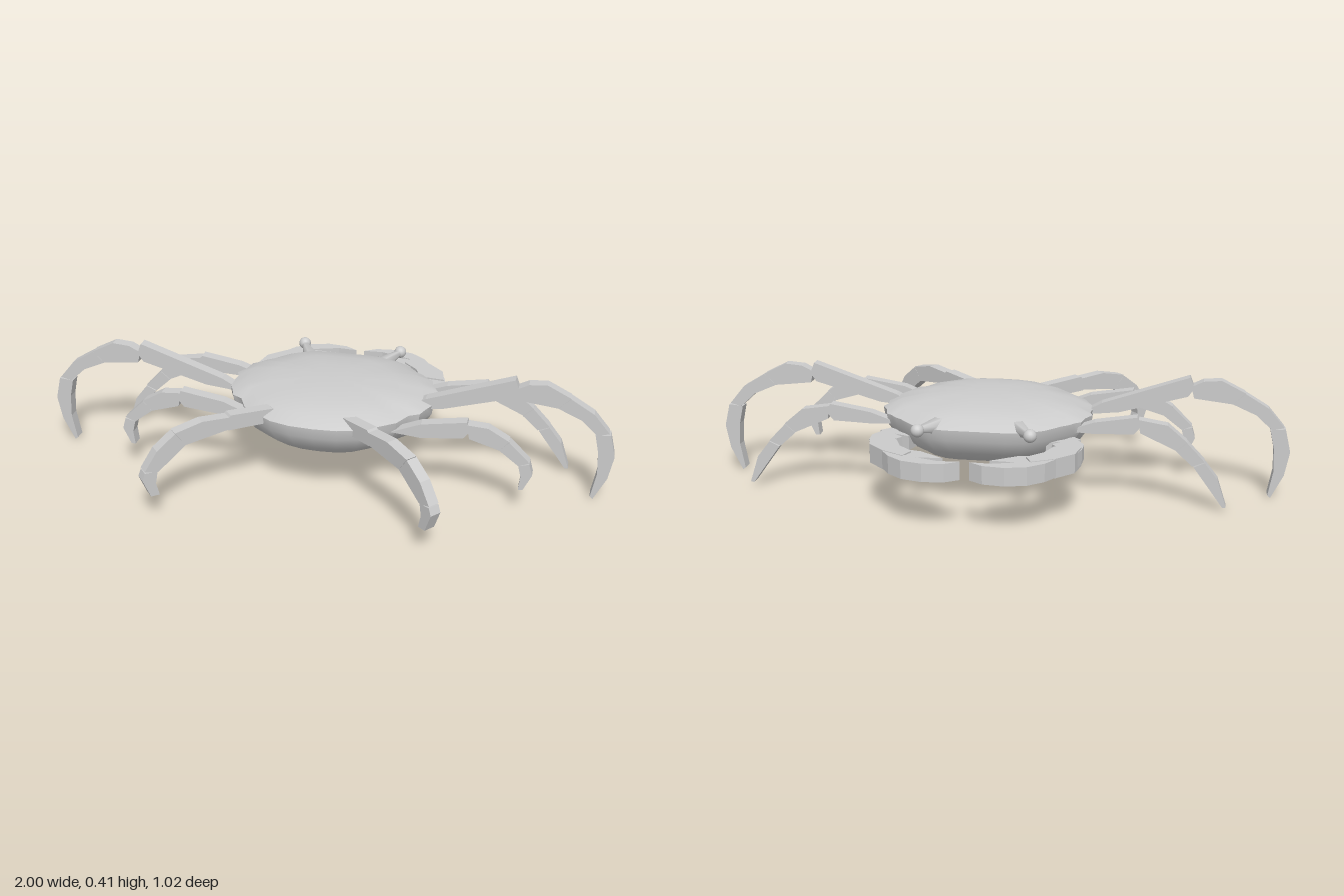
import * as THREE from 'three';
import { toCreasedNormals } from 'three/addons/utils/BufferGeometryUtils.js';

const material = new THREE.MeshStandardMaterial({ color: 0xcccccc });

function mesh(name, geometry) {
  const m = new THREE.Mesh(geometry, material);
  m.name = name;
  return m;
}

// Flat list of x,y pairs -> slab of the given thickness, starting at z = 0
function slab(pairs, depth) {
  const points = [];
  for (let i = 0; i < pairs.length; i += 2) points.push(new THREE.Vector2(pairs[i], pairs[i + 1]));
  return new THREE.ExtrudeGeometry(new THREE.Shape(points), { depth, bevelEnabled: false });
}

// Shell: scaled copies of a notched half outline, mirrored and stacked
function bodyGeometry() {
  const half = [
    [0, -0.32], [0.1, -0.32], [0.16, -0.31], [0.22, -0.275], [0.27, -0.22], [0.29, -0.205],
    [0.31, -0.18], [0.33, -0.165], [0.34, -0.12], [0.362, -0.08], [0.352, -0.05], [0.36, 0.02],
    [0.34, 0.06], [0.325, 0.1], [0.29, 0.12], [0.26, 0.18], [0.2, 0.225], [0.15, 0.26],
    [0.08, 0.28], [0, 0.285],
  ];
  const outline = [...half, ...half.slice(1, -1).reverse().map(([x, z]) => [-x, z])];
  // [y, scale] from the top down
  const levels = [
    [0.345, 0], [0.344, 0.3], [0.335, 0.6], [0.318, 0.84], [0.292, 1], [0.255, 0.985],
    [0.205, 0.89], [0.165, 0.72], [0.145, 0.45], [0.134, 0.2], [0.133, 0],
  ];
  const n = outline.length, position = [], index = [];
  for (const [y, s] of levels)
    for (const [x, z] of outline) position.push(x * s, y, -0.015 + (z + 0.015) * s);
  for (let l = 0; l < levels.length - 1; l++)
    for (let i = 0; i < n; i++) {
      const a = l * n + i, b = l * n + (i + 1) % n;
      if (l > 0) index.push(a, b, a + n);
      if (l < levels.length - 2) index.push(b, b + n, a + n);
    }
  const g = new THREE.BufferGeometry();
  g.setAttribute('position', new THREE.Float32BufferAttribute(position, 3));
  g.setIndex(index);
  return toCreasedNormals(g, 0.6);
}

// Leg segments as side profiles: distance outward, height
const longLeg = [
  [0.28, 0.27, 0.36, 0.315, 0.655, 0.417, 0.67, 0.38, 0.65, 0.35, 0.42, 0.285],
  [0.66, 0.385, 0.70, 0.405, 0.76, 0.41, 0.84, 0.37, 0.80, 0.33, 0.67, 0.345],
  [0.84, 0.368, 0.92, 0.32, 0.975, 0.255, 0.935, 0.245, 0.88, 0.295, 0.80, 0.33],
  [0.98, 0.25, 1.0, 0.17, 0.985, 0.085, 0.945, 0.002, 0.935, 0.01, 0.95, 0.1, 0.945, 0.18, 0.93, 0.245],
];
const frontLeg = [
  [0.28, 0.26, 0.38, 0.295, 0.52, 0.318, 0.535, 0.29, 0.51, 0.26, 0.38, 0.255],
  [0.525, 0.31, 0.62, 0.295, 0.685, 0.24, 0.65, 0.21, 0.53, 0.265],
  [0.685, 0.238, 0.745, 0.175, 0.705, 0.158, 0.65, 0.208],
  [0.745, 0.172, 0.79, 0.115, 0.822, 0.02, 0.81, 0.018, 0.765, 0.08, 0.71, 0.155],
];
const middleLeg = [
  [0.24, 0.26, 0.34, 0.3, 0.49, 0.324, 0.50, 0.29, 0.48, 0.265, 0.34, 0.25],
  [0.49, 0.315, 0.56, 0.31, 0.63, 0.27, 0.60, 0.235, 0.50, 0.265],
  [0.63, 0.268, 0.70, 0.2, 0.665, 0.185, 0.60, 0.235],
  [0.70, 0.195, 0.712, 0.155, 0.685, 0.097, 0.67, 0.097, 0.675, 0.145, 0.665, 0.185],
];
const backLeg = [
  [-0.05, 0.29, 0.0, 0.315, 0.15, 0.325, 0.17, 0.3, 0.16, 0.272, -0.02, 0.265],
  [0.15, 0.318, 0.25, 0.325, 0.345, 0.305, 0.31, 0.255, 0.16, 0.275],
  [0.345, 0.303, 0.41, 0.255, 0.455, 0.19, 0.41, 0.18, 0.31, 0.255],
  [0.455, 0.185, 0.465, 0.16, 0.44, 0.096, 0.41, 0.096, 0.42, 0.14, 0.412, 0.182],
];

function leg(name, profiles, side, x, z, yaw = 0) {
  const g = new THREE.Group();
  g.name = name;
  const joints = ['upperSegment', 'middleSegment', 'lowerSegment', 'foot'];
  profiles.forEach((p, i) => g.add(mesh(joints[i], slab(p, 0.04).translate(0, 0, -0.02))));
  g.position.set(x, 0, z);
  g.rotation.y = side > 0 ? -yaw : Math.PI + yaw;
  return g;
}

// Claw parts as plan outlines: x outward, z; then bottom and top height
const clawParts = [
  ['clawArm', 0.19, 0.24, [0.2, -0.14, 0.3, -0.15, 0.34, -0.19, 0.3, -0.215, 0.23, -0.24]],
  ['clawWrist', 0.19, 0.24, [0.3, -0.205, 0.33, -0.195, 0.355, -0.24, 0.352, -0.29, 0.335, -0.34, 0.28, -0.29, 0.25, -0.25]],
  ['clawPalm', 0.18, 0.245, [0.335, -0.35, 0.28, -0.405, 0.205, -0.445, 0.185, -0.40, 0.235, -0.35, 0.26, -0.29, 0.35, -0.28]],
  ['clawMovableFinger', 0.185, 0.24, [0.205, -0.445, 0.075, -0.44, 0.155, -0.385, 0.24, -0.365]],
  ['clawFixedFinger', 0.182, 0.243, [0.28, -0.405, 0.25, -0.45, 0.2, -0.49, 0.13, -0.508, 0.06, -0.50, 0.015, -0.472, 0.085, -0.476, 0.15, -0.455, 0.205, -0.435]],
];

function claw(side) {
  const g = new THREE.Group();
  g.name = side > 0 ? 'leftClaw' : 'rightClaw';
  for (const [name, bottom, top, plan] of clawParts) {
    const pairs = plan.map((v, i) => (i % 2 ? -v : v * side));
    g.add(mesh(name, slab(pairs, top - bottom).rotateX(-Math.PI / 2).translate(0, bottom, 0)));
  }
  g.position.x = 0.035;
  return g;
}

// Eye: ball on a tapered stalk
function eye(side) {
  const g = new THREE.Group();
  g.name = side > 0 ? 'leftEye' : 'rightEye';
  const from = new THREE.Vector3(side * 0.125, 0.29, -0.25);
  const to = new THREE.Vector3(side * 0.18, 0.302, -0.355);
  const stalk = mesh('eyeStalk', new THREE.CylinderGeometry(0.011, 0.032, from.distanceTo(to), 6));
  stalk.position.copy(from).lerp(to, 0.5);
  stalk.quaternion.setFromUnitVectors(new THREE.Vector3(0, 1, 0), to.clone().sub(from).normalize());
  const ball = mesh('eyeball', new THREE.SphereGeometry(0.022, 16, 12));
  ball.position.set(side * 0.182, 0.302, -0.364);
  g.add(stalk, ball);
  g.position.x = 0.025;
  return g;
}

export function createModel() {
  const crab = new THREE.Group();
  crab.name = 'crab';
  const body = mesh('shell', bodyGeometry());
  body.position.x = 0.027;
  crab.add(body);
  for (const side of [1, -1]) {
    const s = side > 0 ? 'left' : 'right';
    crab.add(
      leg(s + 'FrontLeg', frontLeg, side, 0.033, -0.15),
      leg(s + 'LongLeg', longLeg, side, 0, 0.01),
      leg(s + 'MiddleLeg', middleLeg, side, 0.028, side > 0 ? 0.167 : 0.155),
      leg(s + 'BackLeg', backLeg, side, side * 0.125 - 0.013, 0.2, 0.7),
      claw(side),
      eye(side),
    );
  }
  return crab;
}
